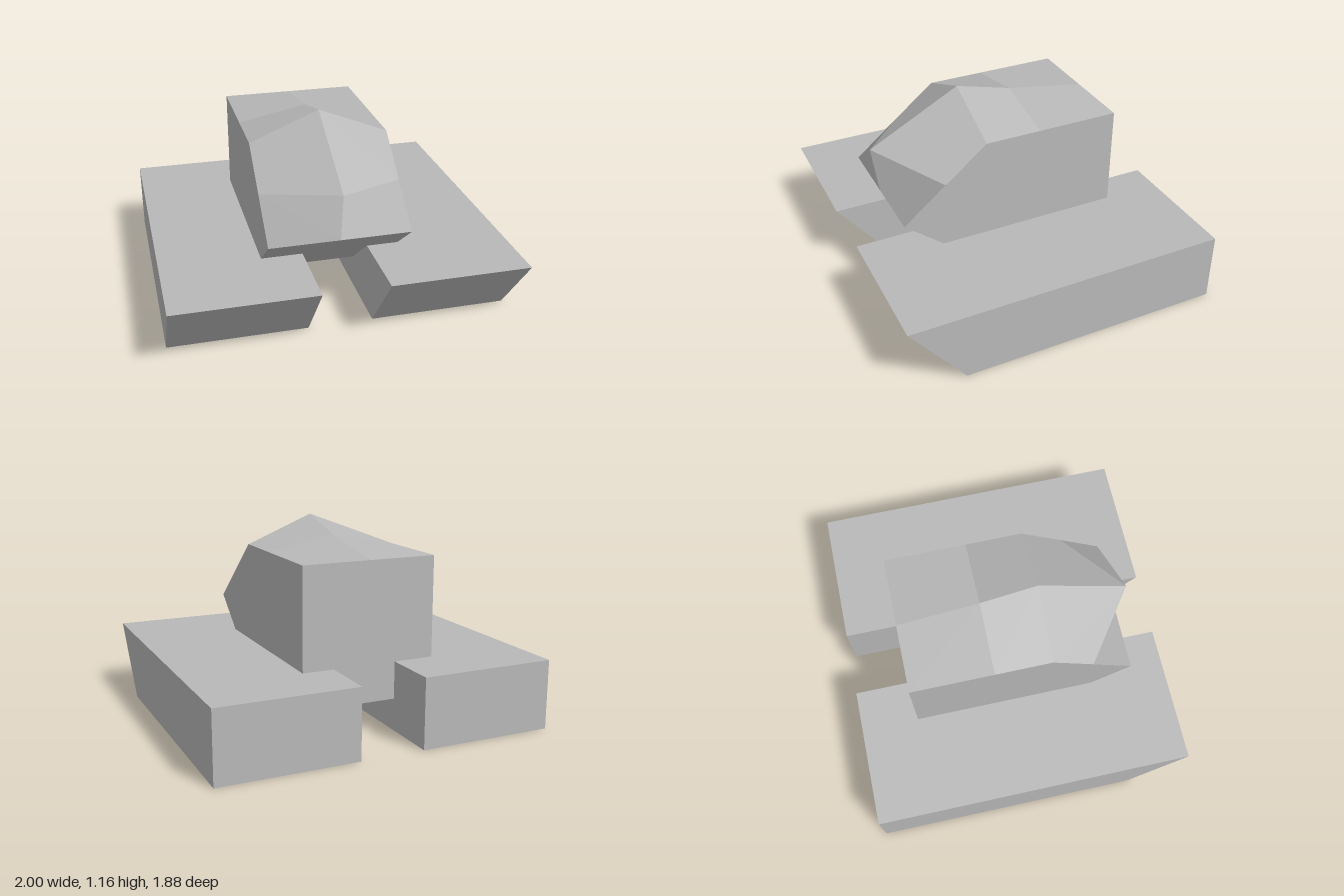
import * as THREE from 'three';

// One flat-shaded geometry from convex polygons, each with a single averaged normal
function facets(polygons) {
  const position = [], normal = [];
  for (const poly of polygons) {
    const p = poly.map((q) => new THREE.Vector3(...q));
    const n = new THREE.Vector3();
    for (let i = 1; i < p.length - 1; i++) {
      n.add(p[i].clone().sub(p[0]).cross(p[i + 1].clone().sub(p[0])));
    }
    n.normalize();
    for (let i = 1; i < p.length - 1; i++) {
      for (const v of [p[0], p[i], p[i + 1]]) {
        position.push(v.x, v.y, v.z);
        normal.push(n.x, n.y, n.z);
      }
    }
  }
  const geometry = new THREE.BufferGeometry();
  geometry.setAttribute('position', new THREE.Float32BufferAttribute(position, 3));
  geometry.setAttribute('normal', new THREE.Float32BufferAttribute(normal, 3));
  return geometry;
}

export function createModel() {
  const model = new THREE.Group();
  model.name = 'vehicle';
  const grey = new THREE.MeshStandardMaterial({ color: 0xb8b8b8 });
  grey.name = 'grey';

  // Two side hulls with a raked front
  const profile = new THREE.Shape([[-0.94, 0], [0.62, 0], [0.94, 0.41], [-0.94, 0.41]]
    .map(([z, y]) => new THREE.Vector2(z, y)));
  const hullGeometry = new THREE.ExtrudeGeometry(profile, { depth: 0.81, bevelEnabled: false });
  hullGeometry.rotateY(-Math.PI / 2).translate(0.405, 0, 0);
  for (const [name, x] of [['leftHull', 0.595], ['rightHull', -0.595]]) {
    const hull = new THREE.Mesh(hullGeometry, grey);
    hull.name = name;
    hull.position.x = x;
    model.add(hull);
  }

  // Central cabin: straight walls, raised roof and pointed nose
  const L = -0.43, M = -0.03, R = 0.375;
  const bottomBack = (x) => [x, 0.19, -0.6];
  const bottomFront = (x) => [x, 0.19, 0.21];
  const back = (x) => [x, 1, -0.6];
  const side = (x) => [x, 1, -0.12];
  const top = (x) => [x, 1, 0.21];
  const mid = (x) => [x, 0.8, 0.46];
  const low = (x) => [x, 0.595, 0.71];
  const apex = [M, 1.165, 0.21], crown = [M, 1.08, -0.12], nose = [M, 0.88, 0.75];
  const wall = (x) => [bottomBack(x), back(x), top(x), low(x), bottomFront(x)];

  const parts = {
    cabinWalls: [
      wall(R), wall(L).reverse(),
      [bottomBack(R), bottomBack(L), back(L), back(R)],
      [bottomBack(L), bottomBack(R), bottomFront(R), bottomFront(L)],
      [bottomFront(L), bottomFront(R), low(R), low(L)],
    ],
    cabinRoof: [
      [back(L), side(L), crown, back(M)],
      [back(R), back(M), crown, side(R)],
      [side(L), top(L), apex, crown],
      [crown, apex, top(R), side(R)],
    ],
    cabinNose: [
      [top(L), mid(L), nose, apex],
      [apex, nose, mid(R), top(R)],
      [mid(L), low(L), low(M), nose],
      [low(R), mid(R), nose, low(M)],
    ],
  };
  for (const [name, polygons] of Object.entries(parts)) {
    const mesh = new THREE.Mesh(facets(polygons), grey);
    mesh.name = name;
    model.add(mesh);
  }
  return model;
}
